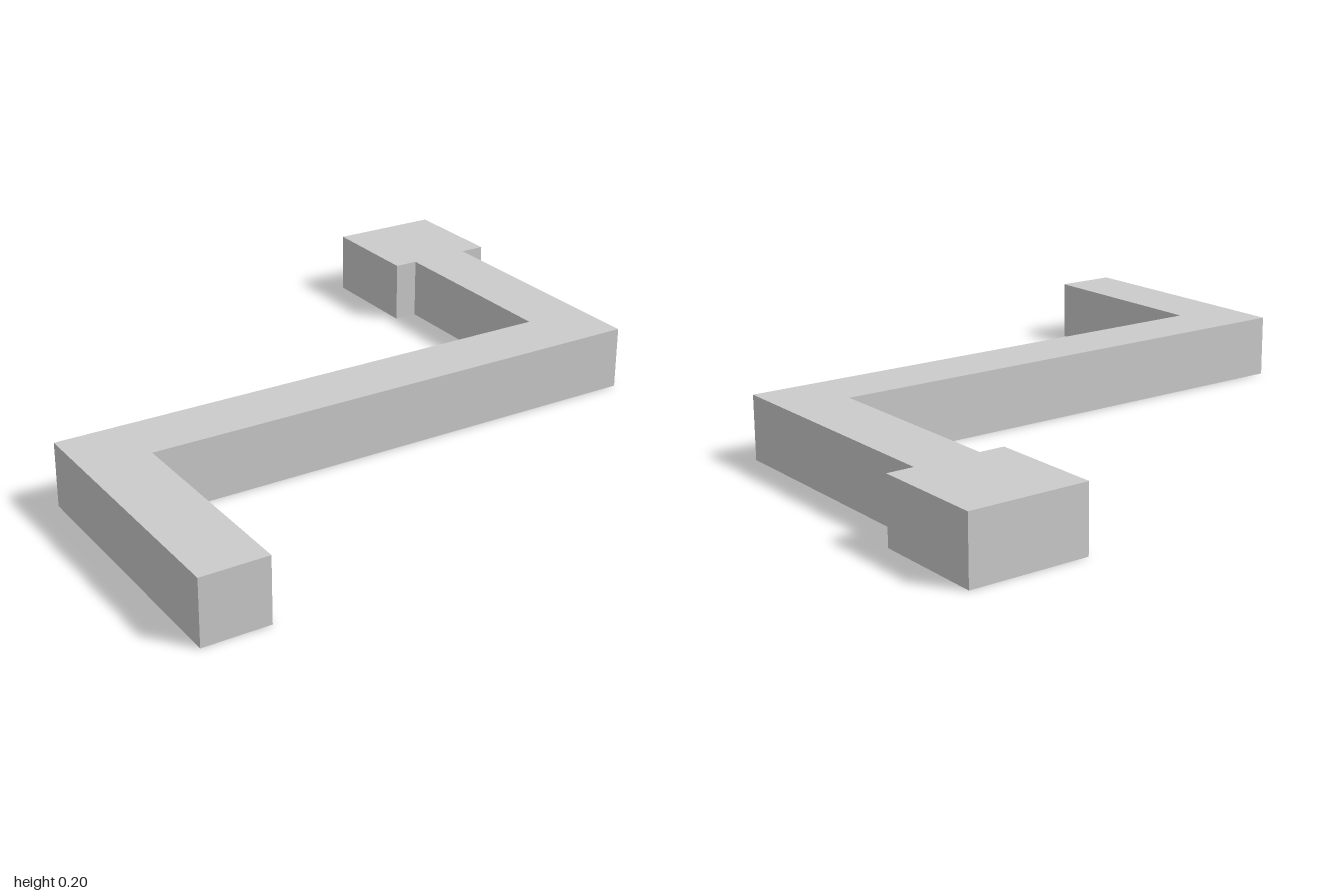
import * as THREE from 'three';

const HEIGHT = 0.205;

// Plan outline as [x, z] corners: front arm, crossbar, rear arm and square end pad
const OUTLINE = [
  [-1, 0.957], [-0.79, 0.957], [-0.79, 0.285], [0.915, 0.285],
  [0.915, -0.59], [1, -0.59], [1, -0.957], [0.625, -0.957],
  [0.625, -0.59], [0.705, -0.59], [0.705, 0.08], [-1, 0.08],
];

export function createModel() {
  const group = new THREE.Group();
  group.name = 'crankedBar';

  const shape = new THREE.Shape(OUTLINE.map(([x, z]) => new THREE.Vector2(x, -z)));
  const geometry = new THREE.ExtrudeGeometry(shape, { depth: HEIGHT, bevelEnabled: false });
  geometry.rotateX(-Math.PI / 2); // lay the plan flat, extruded upward

  const material = new THREE.MeshStandardMaterial({ color: 0xcccccc, flatShading: true });
  const bar = new THREE.Mesh(geometry, material);
  bar.name = 'barWithEndPad';
  group.add(bar);
  return group;
}
